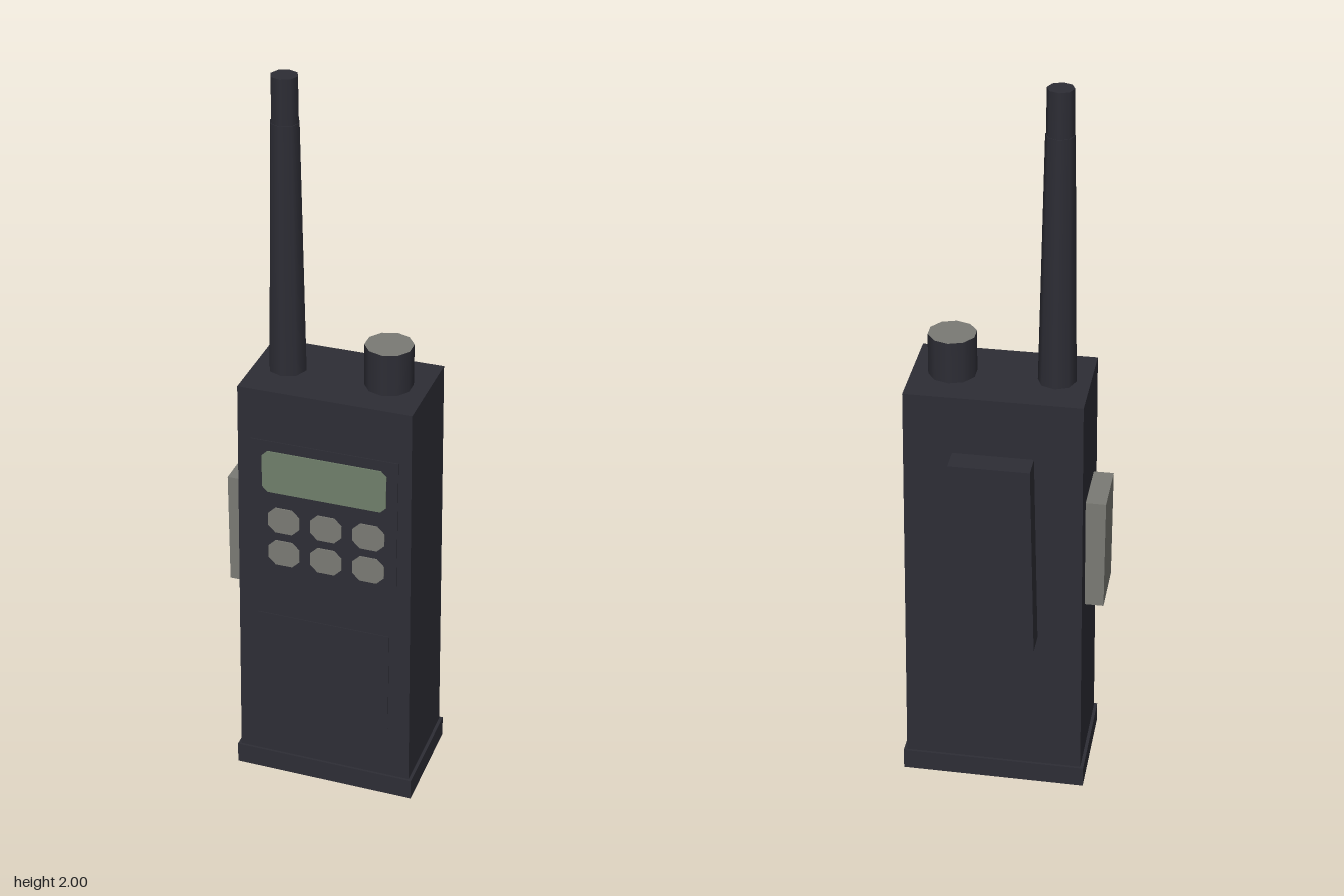
import * as THREE from 'three';

const make = (name, hex) => {
  const m = new THREE.MeshStandardMaterial({ color: hex });
  m.name = name;
  return m;
};

// Box standing on y = 0 whose top is narrower than its bottom
function taperedBox(w0, d0, w1, d1, h) {
  const g = new THREE.BoxGeometry(1, h, 1).translate(0, h / 2, 0);
  const p = g.attributes.position;
  for (let i = 0; i < p.count; i++) {
    const t = p.getY(i) / h;
    p.setX(i, p.getX(i) * (w0 + (w1 - w0) * t));
    p.setZ(i, p.getZ(i) * (d0 + (d1 - d0) * t));
  }
  g.computeVertexNormals();
  return g;
}

// Thin plate with chamfered corners, back face on z = 0
function chamferPlate(w, h, c, depth) {
  const x = w / 2, y = h / 2;
  const pts = [[-x + c, -y], [x - c, -y], [x, -y + c], [x, y - c],
    [x - c, y], [-x + c, y], [-x, y - c], [-x, -y + c]];
  const shape = new THREE.Shape(pts.map(([a, b]) => new THREE.Vector2(a, b)));
  return new THREE.ExtrudeGeometry(shape, { depth, bevelEnabled: false });
}

export function createModel() {
  const dark = make('dark casing', 0x2d2d35);
  const grey = make('grey button', 0x7a7a74);
  const green = make('green display', 0x6f7f6a);

  const model = new THREE.Group();
  model.name = 'handheldRadio';
  const add = (name, geo, mat, x = 0, y = 0, z = 0, parent = model) => {
    const mesh = new THREE.Mesh(geo, mat);
    mesh.name = name;
    mesh.position.set(x, y, z);
    parent.add(mesh);
    return mesh;
  };

  const cx = 0.0175, cz = 0.028;

  // Casing and foot
  add('body', taperedBox(0.49, 0.287, 0.466, 0.272, 1.2), dark, cx, 0, cz);
  add('base', new THREE.BoxGeometry(0.506, 0.06, 0.3), dark, cx, 0.03, cz);

  // Antenna: tapered rod with a straight tip
  const antenna = new THREE.Group();
  antenna.name = 'antenna';
  antenna.position.set(-0.128, 0, cz);
  model.add(antenna);
  add('antennaRod', new THREE.CylinderGeometry(0.038, 0.051, 0.69, 8), dark, 0, 1.535, 0, antenna);
  add('antennaTip', new THREE.CylinderGeometry(0.035, 0.036, 0.12, 8), dark, 0, 1.94, 0, antenna);

  // Volume knob with a grey top
  add('knob', new THREE.CylinderGeometry(0.064, 0.064, 0.12, 10), [dark, grey, dark], 0.145, 1.255, cz);

  // Talk button on the side
  add('sideButton', new THREE.BoxGeometry(0.062, 0.32, 0.16), grey, -0.241, 0.725, 0.027);

  // Belt clip on the back
  add('beltClip', taperedBox(0.239, 0.067, 0.213, 0.067, 0.555), dark, 0.0165, 0.485, -0.1465);

  // Front controls follow the slope of the casing
  const front = new THREE.Group();
  front.name = 'frontControls';
  front.position.set(cx, 0, 0.1715);
  front.rotation.x = -0.00625;
  model.add(front);
  add('controlPanel', new THREE.BoxGeometry(0.397, 0.398, 0.006), dark, 0, 0.857, 0, front);
  add('batteryDoor', new THREE.BoxGeometry(0.368, 0.3, 0.005), dark, -0.003, 0.37, 0, front);
  add('display', chamferPlate(0.336, 0.122, 0.015, 0.004), green, 0, 0.966, 0.002, front);
  for (const y of [0.822, 0.722]) {
    for (const x of [-0.116, 0, 0.116]) {
      add('keypadButton', chamferPlate(0.086, 0.075, 0.02, 0.004), grey, x + 0.006, y, 0.002, front);
    }
  }
  return model;
}
